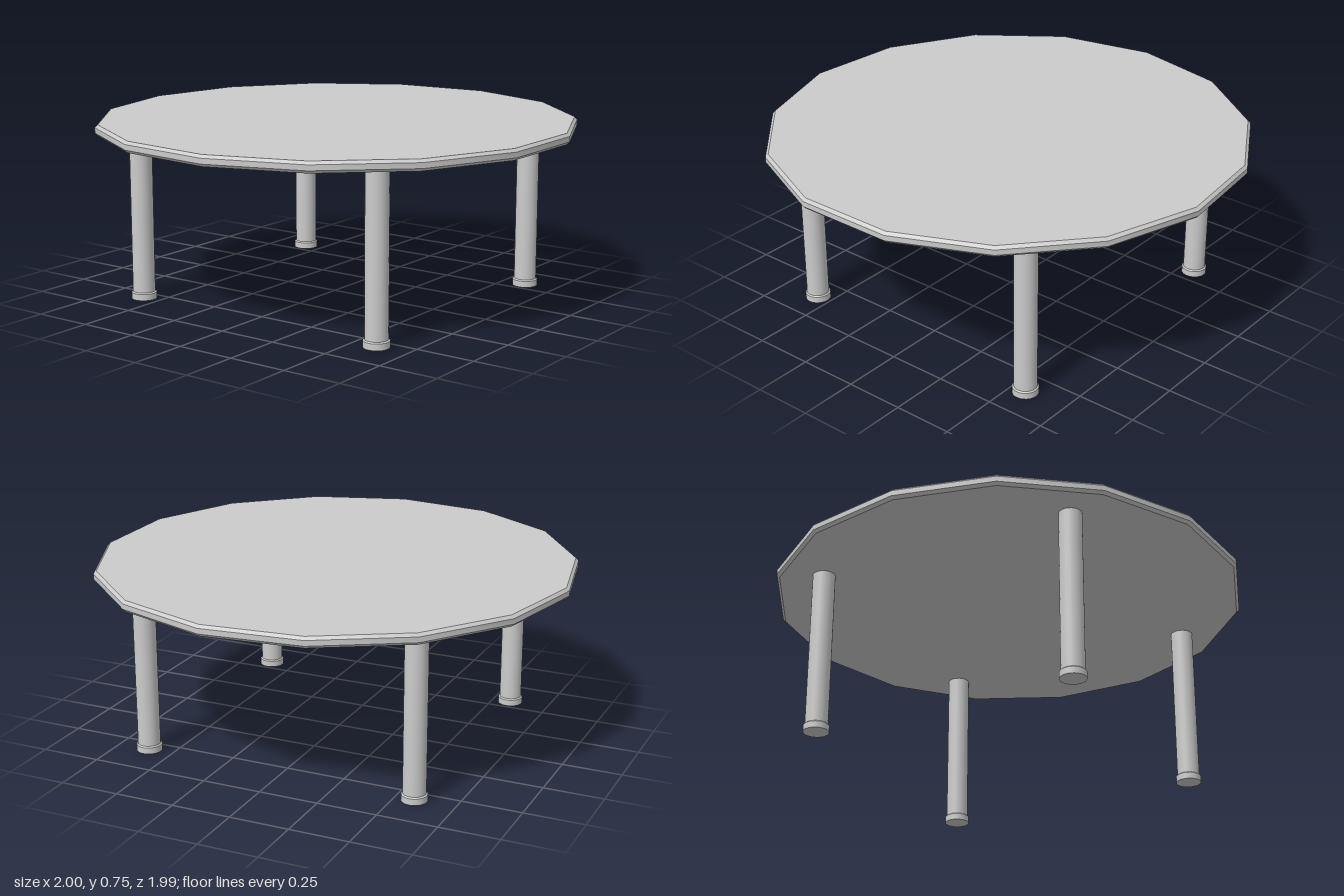
import * as THREE from 'three';
import { toCreasedNormals } from 'three/addons/utils/BufferGeometryUtils.js';

const material = new THREE.MeshStandardMaterial({ color: 0xcccccc });

function addMesh(parent, name, geometry, y = 0) {
  const mesh = new THREE.Mesh(geometry, material);
  mesh.name = name;
  mesh.position.y = y;
  parent.add(mesh);
}

// Fifteen-sided slab with chamfered rims, one corner pointing to the back
function tabletopGeometry() {
  const r = 1.0055, c = 0.012, bottom = 0.708, top = 0.754;
  const profile = [
    [0, bottom], [r - c, bottom], [r, bottom + c],
    [r, top - c], [r - c, top], [0, top],
  ].map(([x, y]) => new THREE.Vector2(x, y));
  const lathe = new THREE.LatheGeometry(profile, 15, Math.PI);
  return toCreasedNormals(lathe, Math.PI / 6);
}

// Round shaft standing on a slightly wider foot with a bevelled lip
function createLeg() {
  const leg = new THREE.Group();
  const sides = 24;
  addMesh(leg, 'shaft', new THREE.CylinderGeometry(0.047, 0.047, 0.684, sides), 0.368);
  addMesh(leg, 'foot', new THREE.CylinderGeometry(0.053, 0.053, 0.027, sides), 0.0135);
  addMesh(leg, 'footBevel', new THREE.CylinderGeometry(0.047, 0.053, 0.005, sides, 1, true), 0.0295);
  return leg;
}

export function createModel() {
  const table = new THREE.Group();
  table.name = 'roundTable';

  addMesh(table, 'tabletop', tabletopGeometry());
  table.children[0].position.z = 0.011;

  // Four legs
  for (const [end, z] of [['front', 0.608], ['back', -0.58]]) {
    for (const [side, x] of [['Left', 0.565], ['Right', -0.565]]) {
      const leg = createLeg();
      leg.name = `${end}${side}Leg`;
      leg.position.set(x, 0, z);
      table.add(leg);
    }
  }
  return table;
}
